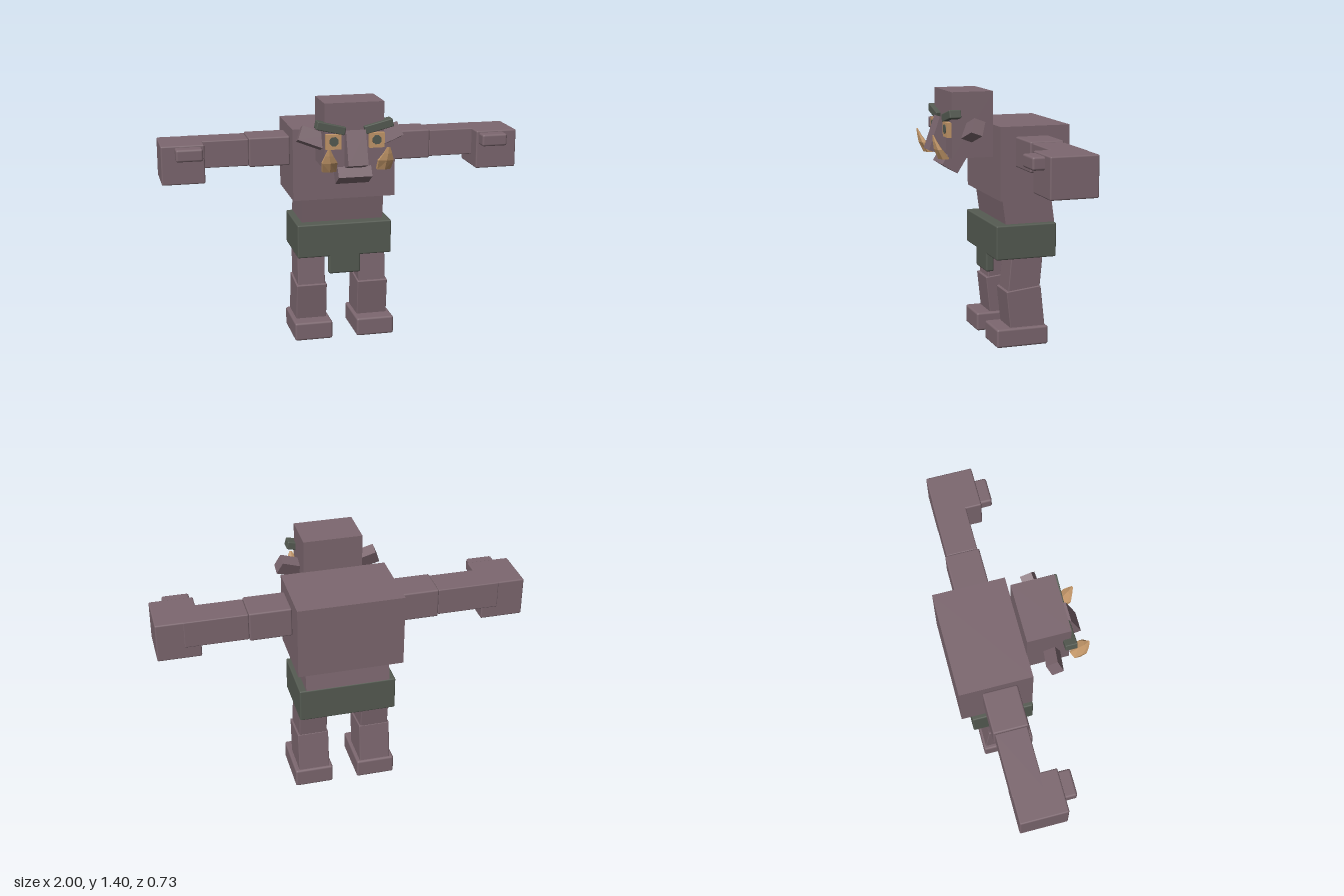
import * as THREE from 'three';
import { RoundedBoxGeometry } from 'three/addons/geometries/RoundedBoxGeometry.js';

const skin = new THREE.MeshStandardMaterial({ color: 0x7c676f });
skin.name = 'mauve skin';
const moss = new THREE.MeshStandardMaterial({ color: 0x555b52 });
moss.name = 'dark moss';
const ivory = new THREE.MeshStandardMaterial({ color: 0xc4986a });
ivory.name = 'tan ivory';

// Tusk rings from base to tip: y, centre x, centre z, half width, half depth
const TUSK = [
  [1.046, 0.148, 0.302, 0.042, 0.031],
  [1.1, 0.152, 0.336, 0.047, 0.022],
  [1.14, 0.158, 0.353, 0.026, 0.012],
  [1.175, 0.16, 0.364, 0.009, 0.004],
];

function tuskGeometry() {
  const g = new THREE.CylinderGeometry(1, 1, 3, 6, 3).toNonIndexed();
  const p = g.attributes.position;
  for (let i = 0; i < p.count; i++) {
    const [y, cx, cz, rx, rz] = TUSK[Math.round(p.getY(i) + 1.5)];
    p.setXYZ(i, cx + p.getX(i) * rx, y, cz + p.getZ(i) * rz);
  }
  g.computeVertexNormals();
  return g;
}

export function createModel() {
  const model = new THREE.Group();
  model.name = 'tuskedBrute';

  const add = (parent, name, geometry, material, pos, rot = [0, 0, 0]) => {
    const mesh = new THREE.Mesh(geometry, material);
    mesh.name = name;
    mesh.position.set(...pos);
    mesh.rotation.set(...rot);
    parent.add(mesh);
    return mesh;
  };
  // Box with an optional soft edge
  const box = (parent, name, size, pos, material = skin, rot, r = 0) =>
    add(parent, name,
      r ? new RoundedBoxGeometry(...size, 2, r) : new THREE.BoxGeometry(...size),
      material, pos, rot);

  // Torso and loincloth
  box(model, 'chest', [0.576, 0.4, 0.395], [0, 1.02, -0.168]);
  box(model, 'waist', [0.464, 0.22, 0.28], [0, 0.77, -0.15], skin, [0.14, 0, 0]);
  box(model, 'loincloth', [0.536, 0.19, 0.346], [0, 0.585, -0.13], moss, undefined, 0.008);
  box(model, 'loinclothFlap', [0.18, 0.19, 0.046], [0, 0.482, 0.02], moss, undefined, 0.01);

  // Head
  const head = new THREE.Group();
  head.name = 'head';
  model.add(head);
  box(head, 'skull', [0.324, 0.356, 0.233], [0, 1.222, 0.144]);
  box(head, 'nose', [0.108, 0.19, 0.09], [0, 1.155, 0.283], skin, [-0.33, 0, 0]);
  box(head, 'jaw', [0.184, 0.2, 0.1], [0, 1.062, 0.198], skin, [-0.56, 0, 0]);

  for (const s of [1, -1]) {
    const side = s > 0 ? 'left' : 'right';

    // Face details
    box(head, side + 'Ear', [0.16, 0.082, 0.065], [s * 0.2, 1.195, 0.158], skin, [-0.36, 0, s * 0.38]);
    box(head, side + 'Brow', [0.158, 0.044, 0.065], [s * 0.13, 1.27, 0.253], moss, [0, 0, s * 0.24], 0.005);
    box(head, side + 'Eye', [0.083, 0.08, 0.035], [s * 0.118, 1.197, 0.268], ivory);
    add(head, side + 'Pupil', new THREE.CylinderGeometry(0.026, 0.026, 0.006, 8), moss,
      [s * 0.117, 1.2, 0.287], [Math.PI / 2, Math.PI / 8, 0]);
    const tusk = add(head, side + 'Tusk', tuskGeometry(), ivory, [0, 0, 0]);
    tusk.scale.x = s;

    // Arm
    const arm = new THREE.Group();
    arm.name = side + 'Arm';
    model.add(arm);
    box(arm, 'upperArm', [0.228, 0.163, 0.188], [s * 0.401, 1.085, -0.149], skin, undefined, 0.009);
    box(arm, 'forearm', [0.34, 0.15, 0.17], [s * 0.685, 1.085, -0.149], skin, undefined, 0.006);
    box(arm, 'hand', [0.234, 0.214, 0.256], [s * 0.883, 1.053, -0.104], skin, undefined, 0.008);
    box(arm, 'thumb', [0.145, 0.068, 0.11], [s * 0.853, 1.117, 0.032], skin, undefined, 0.012);

    // Leg
    const leg = new THREE.Group();
    leg.name = side + 'Leg';
    model.add(leg);
    box(leg, 'thigh', [0.156, 0.26, 0.181], [s * 0.176, 0.425, -0.132], skin, [-0.09, 0, 0], 0.005);
    box(leg, 'shin', [0.174, 0.25, 0.2], [s * 0.177, 0.195, -0.13], skin, [0.11, 0, 0], 0.005);
    box(leg, 'foot', [0.216, 0.105, 0.298], [s * 0.179, 0.0525, -0.104], skin, undefined, 0.012);
  }
  return model;
}
